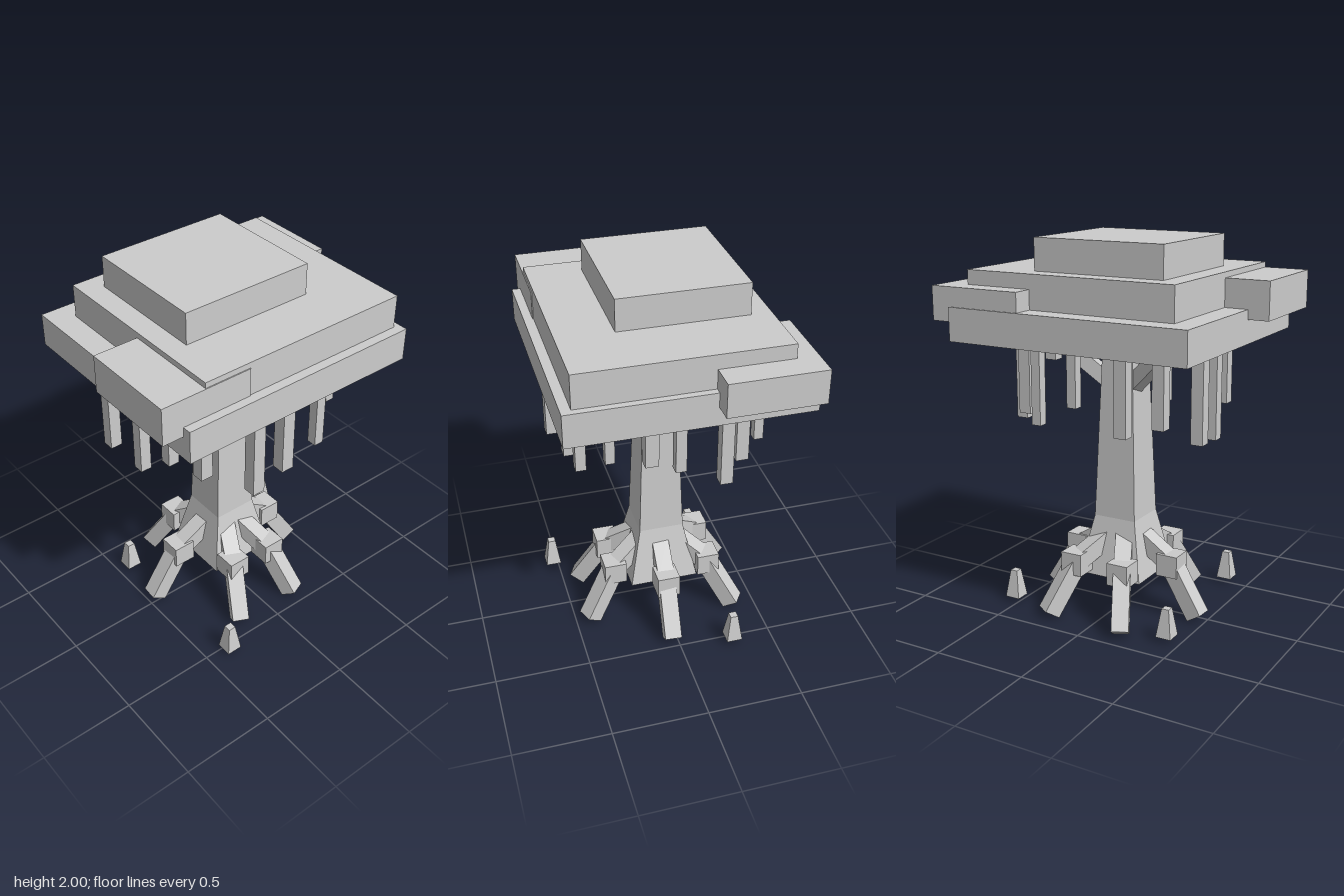
import * as THREE from 'three';

export function createModel() {
  const group = new THREE.Group();
  const grey = new THREE.MeshStandardMaterial({ color: 0xcccccc, flatShading: true });
  grey.name = 'pale grey';

  const add = (name, geometry, x, y, z) => {
    const mesh = new THREE.Mesh(geometry, grey);
    mesh.name = name;
    mesh.position.set(x, y, z);
    group.add(mesh);
    return mesh;
  };
  // Axis-aligned box from its lower and upper limits
  const block = (name, x0, x1, y0, y1, z0, z1) =>
    add(name, new THREE.BoxGeometry(x1 - x0, y1 - y0, z1 - z0), (x0 + x1) / 2, (y0 + y1) / 2, (z0 + z1) / 2);
  // Square bar running between two points
  const bar = (name, a, b, size) => {
    const mid = a.clone().add(b).multiplyScalar(0.5);
    const mesh = add(name, new THREE.BoxGeometry(size, size, a.distanceTo(b)), mid.x, mid.y, mid.z);
    mesh.lookAt(b);
  };
  // Square frustum, with half widths at the top and bottom
  const frustum = (name, top, bottom, y0, y1, x = 0, z = 0) =>
    add(name, new THREE.CylinderGeometry(top * Math.SQRT2, bottom * Math.SQRT2, y1 - y0, 4, 1, false, Math.PI / 4),
      x, (y0 + y1) / 2, z);
  const polar = (degrees, radius, y) => {
    const t = THREE.MathUtils.degToRad(degrees);
    return new THREE.Vector3(radius * Math.cos(t), y, radius * Math.sin(t));
  };

  // Canopy slabs
  block('canopyLower', -0.655, 0.662, 1.487, 1.66, -0.607, 0.607);
  block('canopyMiddle', -0.53, 0.626, 1.65, 1.835, -0.49, 0.557);
  block('canopyTop', -0.418, 0.296, 1.83, 2.0, -0.385, 0.274);
  block('canopyRightClump', -0.766, -0.282, 1.61, 1.806, 0.05, 0.562);
  block('canopyLeftClump', 0.258, 0.764, 1.585, 1.76, -0.6, -0.114);

  // Trunk with a flared base
  frustum('trunk', 0.085, 0.12, 0.52, 1.5);
  frustum('trunkFlare', 0.12, 0.185, 0.205, 0.52);

  // Branches up into the canopy
  for (const angle of [-20, 104, 206]) {
    bar('branch', polar(angle, 0.03, 1.2), polar(angle, 0.46, 1.545), 0.078);
  }

  // Bent stilt roots, each with a knuckle block
  for (const angle of [4, 68, 116, 184, 244, 304]) {
    const knee = polar(angle, 0.29, 0.29);
    bar('rootUpper', polar(angle, 0.09, 0.415), knee, 0.09);
    bar('rootLower', knee, polar(angle, 0.455, 0.027), 0.09);
    add('rootKnuckle', new THREE.BoxGeometry(0.12, 0.12, 0.12), knee.x, knee.y, knee.z);
  }

  // Small breathing roots around the base
  for (const [x, z] of [[0.53, -0.285], [-0.365, 0.53], [-0.42, -0.32]]) {
    frustum('breathingRoot', 0.02, 0.042, 0.028, 0.18, x, z);
  }

  // Hanging vines: x, z, lower end, width
  const vines = [
    [-0.535, -0.22, 1.03, 0.064], [-0.505, 0, 1.0, 0.06], [-0.472, 0.195, 1.145, 0.06],
    [-0.395, 0.352, 1.12, 0.068], [-0.4, -0.367, 1.12, 0.064], [-0.235, -0.442, 1.075, 0.064],
    [-0.205, 0.513, 1.035, 0.068], [0.02, 0.466, 1.035, 0.07], [0.222, -0.48, 1.09, 0.05],
    [0.243, 0.456, 1.08, 0.054], [0.388, -0.33, 1.1, 0.066], [0.412, 0.345, 1.21, 0.048],
    [0.482, -0.22, 1.04, 0.064], [0.566, 0.182, 1.27, 0.066], [0.578, 0.042, 1.22, 0.054],
    [0, -0.505, 1.21, 0.05],
  ];
  for (const [x, z, y, w] of vines) {
    block('vine', x - w / 2, x + w / 2, y, 1.5, z - w / 2, z + w / 2);
  }

  return group;
}
